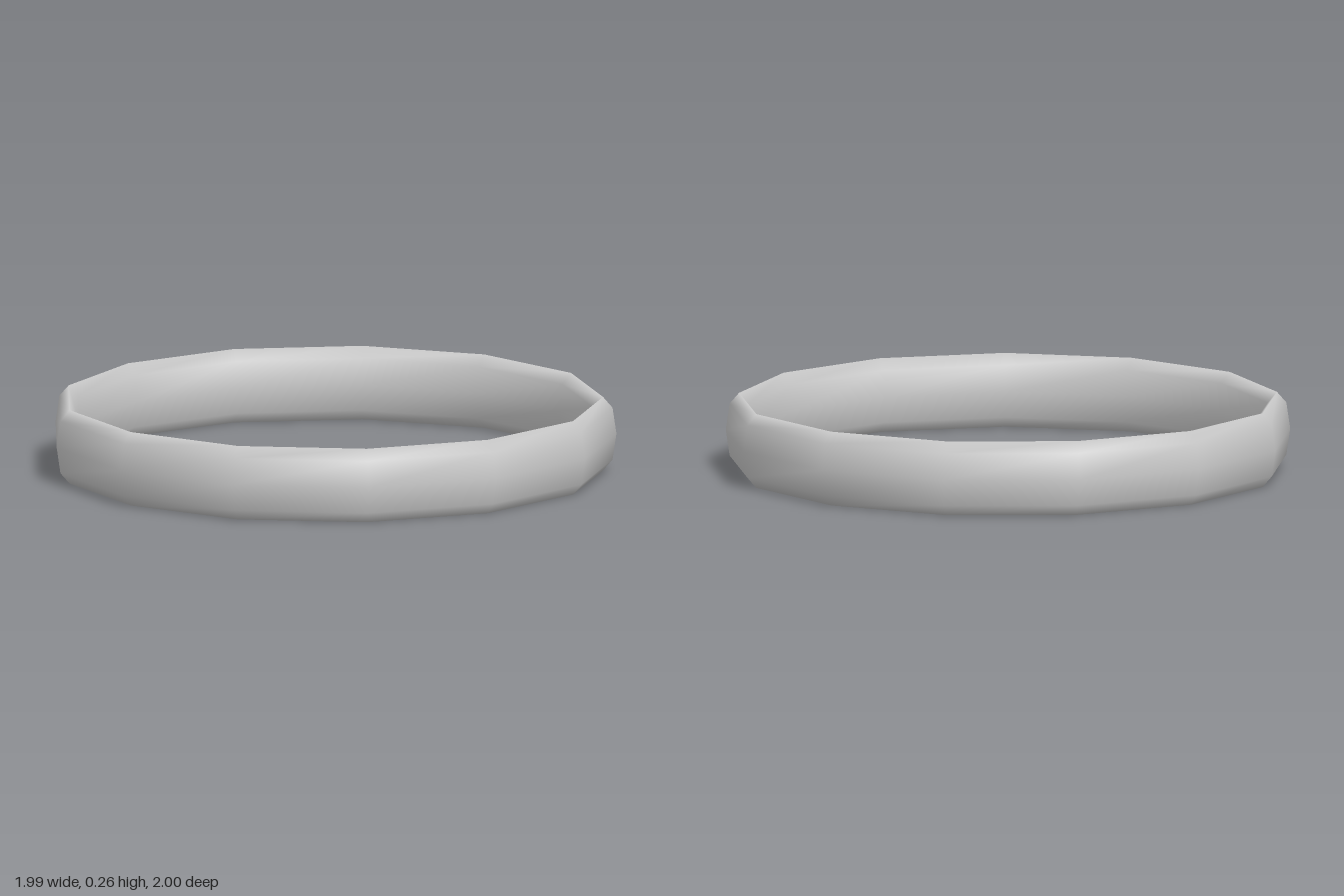
import * as THREE from 'three';

export function createModel() {
  const group = new THREE.Group();
  group.name = 'bangle';

  const sides = 13, ringRadius = 0.96, halfThickness = 0.0475, halfHeight = 0.1325;
  const outer = ringRadius + halfThickness;

  // Thirteen-sided ring with an eight-sided section, stretched tall into a band
  const geometry = new THREE.TorusGeometry(ringRadius, halfThickness, 8, sides);
  geometry.rotateX(-Math.PI / 2);
  geometry.scale(1, halfHeight / halfThickness, 1);

  // An odd number of sides is off-centre along x, so shift it back
  const shift = -outer * (1 - Math.cos(Math.PI / sides)) / 2;
  geometry.translate(shift, halfHeight, 0);

  const band = new THREE.Mesh(geometry, new THREE.MeshStandardMaterial({ color: 0xcccccc }));
  band.name = 'band';
  group.add(band);
  return group;
}
